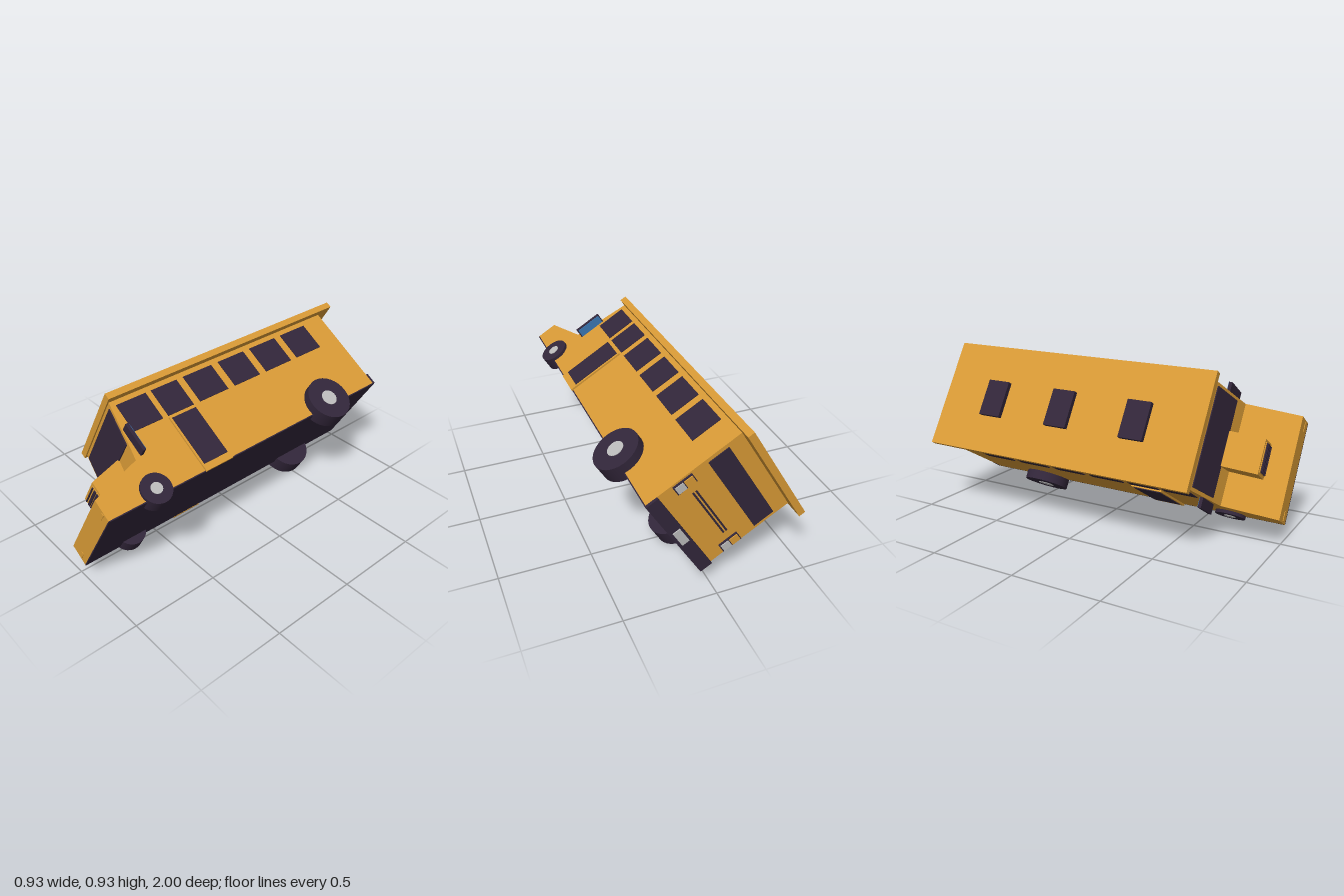
import * as THREE from 'three';

export function createModel() {
  const mat = (name, color) => {
    const m = new THREE.MeshStandardMaterial({ color });
    m.name = name;
    return m;
  };
  const yellow = mat('busYellow', 0xd89a36);
  const dark = mat('darkPlum', 0x32263a);
  const grey = mat('lightGrey', 0xbcbcbc);
  const blue = mat('mirrorBlue', 0x3a78b4);

  const bus = new THREE.Group();
  bus.name = 'bus';

  const add = (name, geometry, material) => {
    const m = new THREE.Mesh(geometry, material);
    m.name = name;
    bus.add(m);
    return m;
  };
  // Box given by its limits on each axis
  const box = (name, material, x0, x1, y0, y1, z0, z1) => {
    const m = add(name, new THREE.BoxGeometry(x1 - x0, y1 - y0, z1 - z0), material);
    m.position.set((x0 + x1) / 2, (y0 + y1) / 2, (z0 + z1) / 2);
    return m;
  };
  // The same box on both sides of the bus
  const pair = (name, material, x0, x1, ...rest) => {
    box(name + 'Left', material, x0, x1, ...rest);
    box(name + 'Right', material, -x1, -x0, ...rest);
  };
  // Side profile of [z, y] points, extruded across the width
  const profile = (name, material, points, halfWidth) => {
    const shape = new THREE.Shape(points.map(([z, y]) => new THREE.Vector2(-z, y)));
    const g = new THREE.ExtrudeGeometry(shape, { depth: halfWidth * 2, bevelEnabled: false });
    g.translate(0, 0, -halfWidth).rotateY(Math.PI / 2);
    return add(name, g, material);
  };

  // Body with sloping hood, underside and roof
  const half = 0.286;
  profile('body', yellow, [
    [-0.91, 0.004], [1, 0.004], [1, 0.125], [0.705, 0.215],
    [0.69, 0.3], [0.65, 0.556], [-0.91, 0.556],
  ], half);
  box('underside', dark, -half, half, -0.002, 0.004, -0.92, 1);
  box('roof', yellow, -0.311, 0.325, 0.555, 0.592, -1, 0.66);
  for (const z of [-0.63, -0.18, 0.29]) {
    box('roofHatch', dark, -0.1, 0.11, 0.592, 0.618, z - 0.07, z + 0.07);
  }

  // Windshield follows the slope of the cab front
  const windshield = add('windshield', new THREE.BoxGeometry(0.534, 0.22, 0.008), dark);
  windshield.position.set(0, 0.421, 0.673);
  windshield.rotation.x = -Math.atan2(0.04, 0.256);

  // Hood scoop with grille bars
  profile('hoodScoop', yellow, [[0.68, 0.15], [0.88, 0.15], [0.88, 0.272], [0.68, 0.325]], 0.097);
  box('grilleFrame', yellow, -0.082, 0.082, 0.17, 0.26, 0.88, 0.884);
  for (const [y, h] of [[0.18, 0.007], [0.203, 0.016], [0.226, 0.016], [0.249, 0.007]]) {
    box('grilleBar', dark, -0.08, 0.08, y - h / 2, y + h / 2, 0.884, 0.89);
  }
  pair('frontMarker', yellow, 0.222, 0.275, 0.04, 0.06, 1, 1.003);

  // Side windows and doors
  for (const [z0, z1] of [[-0.75, -0.55], [-0.5, -0.3], [-0.25, -0.06],
    [-0.01, 0.19], [0.235, 0.405], [0.44, 0.625]]) {
    pair('sideWindow', dark, half - 0.002, half + 0.004, 0.355, 0.525, z0, z1);
  }
  pair('doorFrame', yellow, half - 0.002, half + 0.01, -0.004, 0.343, 0.23, 0.412);
  pair('doorWindow', dark, half + 0.009, half + 0.014, 0.035, 0.333, 0.243, 0.4);

  // Side mirrors with glass facing backwards
  pair('mirror', dark, 0.284, 0.342, 0.225, 0.39, 0.652, 0.67);
  pair('mirrorGlass', blue, 0.288, 0.338, 0.232, 0.384, 0.648, 0.652);

  // Rear window, vent, lamps, bumper and plate
  box('rearWindow', dark, -0.265, 0.265, 0.35, 0.47, -0.915, -0.909);
  for (const y of [0.21, 0.228]) {
    box('rearVent', dark, -0.17, 0.17, y - 0.005, y + 0.005, -0.914, -0.909);
  }
  pair('lampHousing', dark, 0.222, 0.276, 0.15, 0.262, -0.92, -0.909);
  pair('rearLamp', grey, 0.227, 0.271, 0.156, 0.204, -0.925, -0.919);
  pair('rearSignal', yellow, 0.227, 0.271, 0.208, 0.257, -0.925, -0.919);
  box('rearBumper', dark, -half, half, 0, 0.07, -0.925, -0.909);
  box('numberPlate', grey, -0.05, 0.05, 0.015, 0.058, -0.931, -0.924);

  // Wheels: larger at the rear
  for (const [name, z, y, r, inner, outer, hub] of [
    ['rearWheel', -0.51, 0.033, 0.131, 0.24, 0.34, 0.046],
    ['frontWheel', 0.705, 0.035, 0.084, 0.22, 0.304, 0.032],
  ]) {
    for (const side of [-1, 1]) {
      const disc = (part, material, radius, x0, x1) => {
        const g = new THREE.CylinderGeometry(radius, radius, x1 - x0, 32).rotateZ(Math.PI / 2);
        add(part, g, material).position.set(side * (x0 + x1) / 2, y, z);
      };
      disc(name, dark, r, inner, outer);
      disc(name + 'Hub', grey, hub, outer - 0.01, outer + 0.003);
    }
  }

  // The bus lies rolled over on its side edge
  bus.position.x = 0.397;
  const tilt = new THREE.Group();
  tilt.name = 'rolledBus';
  tilt.rotation.set(0.006, 0, THREE.MathUtils.degToRad(59));
  tilt.add(bus);
  const model = new THREE.Group();
  model.name = 'model';
  model.add(tilt);
  return model;
}
